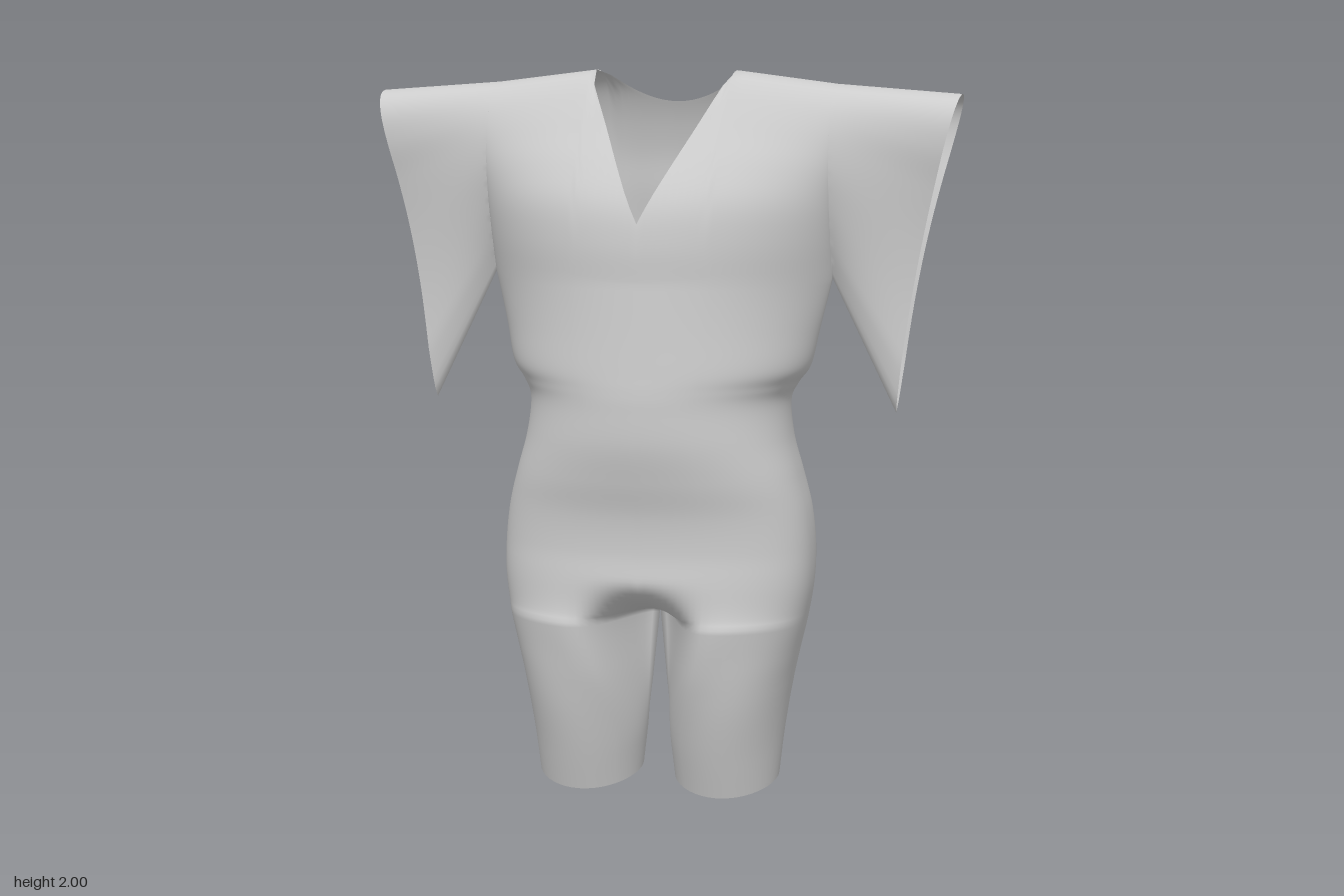
import * as THREE from 'three';

const { lerp, clamp, smoothstep } = THREE.MathUtils;
const ARMPIT = { x: 0.48, y: 1.44 };
const NECK_X = 0.2, TOP_Y = 2.0, CROTCH_Y = 0.5;

// Smooth (Catmull-Rom) lookup in an evenly spaced list, t in 0..1
function smooth(list, t) {
  const n = list.length - 1, i = Math.min(Math.floor(t * n), n - 1), f = t * n - i;
  const p1 = list[i], p2 = list[i + 1];
  const p0 = i > 0 ? list[i - 1] : 2 * p1 - p2;
  const p3 = i + 2 <= n ? list[i + 2] : 2 * p2 - p1;
  const a = (p2 - p0) / 2, b = (p3 - p1) / 2;
  return (2 * p1 - 2 * p2 + a + b) * f ** 3 + (3 * p2 - 3 * p1 - 2 * a - b) * f * f + a * f + p1;
}

// Trunk and leg levels from hem to armpit
const LEVEL_Y = [0, 0.15, 0.3, 0.4, 0.5, 0.6, 0.7, 0.8, 0.9, 1.0, 1.1, 1.15, 1.2, 1.3, 1.44];
const WIDTH = [0.345, 0.36, 0.38, 0.4, 0.422, 0.437, 0.437, 0.425, 0.4, 0.375, 0.367, 0.388, 0.422, 0.446, 0.48];
const FRONT_Z = [0.145, 0.185, 0.22, 0.238, 0.25, 0.255, 0.245, 0.25, 0.272, 0.29, 0.292, 0.29, 0.285, 0.275, 0.262];
const BACK_Z = [-0.15, -0.155, -0.16, -0.165, -0.185, -0.228, -0.276, -0.288, -0.278, -0.262, -0.257, -0.26, -0.265, -0.275, -0.28];

// Cloth depth from the middle plane, from armpit level up to the shoulder line
const CHEST = [0.292, 0.3, 0.288, 0.235, 0.175, 0.13, 0.095, 0.06, 0];
const UPPER_BACK = [0.25, 0.235, 0.215, 0.2, 0.175, 0.145, 0.112, 0.07, 0];
const SLEEVE_ROOT = [0, 0.05, 0.09, 0.115, 0.12, 0.11, 0.088, 0.055, 0];
const SLEEVE_END = [0.034, 0.036, 0.038, 0.048, 0.067, 0.089, 0.088, 0.057, 0];

const middleZ = (s) => -0.03 - 0.05 * s;
const backFold = (x, y) =>
  -0.015 * Math.exp(-(((x - 0.14) / 0.06) ** 2)) * Math.exp(-(((y - 1.5) / 0.3) ** 2));

// How quickly the cloth flattens from the centre towards the armpits
const flatten = (isBack, s) => (isBack ? 1.15 : 1.5) + 0.5 * s;

// Angles from centre front to side, with one column exactly at the neck edge
const neckAngle = Math.asin(NECK_X / ARMPIT.x);
const ANGLES = [];
for (let i = 0; i < 10; i++) ANGLES.push((neckAngle * i) / 10);
for (let i = 0; i <= 16; i++) ANGLES.push(lerp(neckAngle, Math.PI / 2, i / 16));
const AROUND = [...ANGLES, ...ANGLES.slice(0, -1).reverse().map((a) => Math.PI - a)];

// Grid of quads over point(column, row); side mirrors it in x
function grid(columns, rows, side, flip, point) {
  const pos = [], index = [];
  for (let j = 0; j <= rows; j++)
    for (let i = 0; i <= columns; i++) {
      const [x, y, z] = point(i, j);
      pos.push(side * x, y, z);
    }
  for (let j = 0; j < rows; j++)
    for (let i = 0; i < columns; i++) {
      const a = j * (columns + 1) + i, b = a + 1, d = a + columns + 1, c = d + 1;
      if ((side < 0) !== flip) index.push(a, c, b, a, d, c);
      else index.push(a, b, c, a, c, d);
    }
  const geometry = new THREE.BufferGeometry();
  geometry.setAttribute('position', new THREE.Float32BufferAttribute(pos, 3));
  geometry.setIndex(index);
  geometry.computeVertexNormals();
  return geometry;
}

// Half of the trunk, whose rings pinch at the crotch and round off into a leg
function trunkHalf(side) {
  const rows = (LEVEL_Y.length - 1) * 8;
  return grid(AROUND.length - 1, rows, side, false, (i, j) => {
    const a = AROUND[i], t = j / rows, isBack = a > Math.PI / 2;
    let y = smooth(LEVEL_Y, t);
    const w = smooth(WIDTH, t), mid = (-0.03 * y) / ARMPIT.y;
    const depth = isBack ? mid - smooth(BACK_Z, t) : smooth(FRONT_Z, t) - mid;
    const drop = clamp((0.63 - y) / (0.63 - CROTCH_Y), 0, 1);
    const pinch = drop > 0.9999 ? 1 : 1 - (1 - drop * drop) ** 0.75;
    const round = 1 - smoothstep(y, 0.1, CROTCH_Y);
    const gap = Math.max(0, 0.05 * (1 - y / CROTCH_Y));
    const centre = (w + gap) / 2, radius = (w - gap) / 2;
    const x = lerp(gap + (w - gap) * Math.sin(a), centre - radius * Math.cos(2 * a), round);
    // boxy hips, rounder waist, flatter towards the armpits
    const hips = lerp(0.75, 1, smoothstep(y, 0.85, 1.15));
    const power = lerp(hips, flatten(isBack, 0), smoothstep(y, 1.1, ARMPIT.y));
    const arc = (isBack ? -1 : 1) * Math.abs(Math.cos(a)) ** power;
    const cleft = (1 - pinch * Math.exp(-((Math.sin(a) / 0.25) ** 2))) / (1 - 0.12 * pinch);
    const d = lerp(arc * cleft, Math.sin(2 * a), round) / (1 - 0.16 * round * (1 - round));
    let z = mid + d * depth;
    if (isBack) {
      z += backFold(x, y) * -Math.cos(a);
      z += 0.018 * (1 - pinch) * Math.exp(-((x / 0.08) ** 2) - ((y - 0.68) / 0.1) ** 2);
    }
    // tilted, slightly curved leg hem
    y += Math.max(0, 1 - y / 0.3) * (0.025 - 0.17 * z + 0.012 * ((x - 0.2) / 0.15) ** 2);
    return [x, y, z];
  });
}

// Half of the chest or upper back, ending at the neckline
function yokePanel(side, isBack) {
  const rows = 32, body = isBack ? UPPER_BACK : CHEST, sign = isBack ? -1 : 1;
  return grid(ANGLES.length - 1, rows, side, isBack, (i, j) => {
    const x = ARMPIT.x * Math.sin(ANGLES[i]), c = Math.abs(Math.cos(ANGLES[i]));
    const out = Math.max(0, (x - NECK_X) / (ARMPIT.x - NECK_X));
    const height = TOP_Y - 0.035 * out - ARMPIT.y;
    const neckY = isBack ? 1.91 + 0.09 * (x / NECK_X) ** 2 : 1.6 + 2 * x;
    const cut = Math.min(1, (neckY - ARMPIT.y) / height);
    const limit = cut > 0.9999 ? 1 : (Math.asin(cut) * 2) / Math.PI;
    const v = (limit * j) / rows, s = Math.sin((v * Math.PI) / 2);
    const y = ARMPIT.y + height * s;
    const e = c ** flatten(isBack, s);
    const depth = smooth(body, v) * e + smooth(SLEEVE_ROOT, v) * (1 - e);
    const fold = isBack ? backFold(x, y) * c * (1 - s) : 0;
    return [x, y, middleZ(s) + sign * depth + fold];
  });
}

// Front or back of a wide sleeve with a long hanging point
function sleevePanel(side, isBack) {
  const columns = 18, rows = 48, sign = isBack ? -1 : 1;
  return grid(columns, rows, side, isBack, (i, j) => {
    const t = i / columns, v = j / rows, s = Math.sin((v * Math.PI) / 2);
    const x = lerp(lerp(ARMPIT.x, 0.66, t), lerp(ARMPIT.x, 0.82, t), s) - 0.02 * t * Math.sin(Math.PI * s);
    const y = lerp(lerp(ARMPIT.y, 1.075, t), lerp(1.965, 1.94, t), s);
    const tip = Math.min(1, Math.sqrt(10 * v));
    const depth = lerp(smooth(SLEEVE_ROOT, v), smooth(SLEEVE_END, v) * tip, t);
    return [x, y, middleZ(s) + sign * depth];
  });
}

// Share normals between parts where their edges meet
function blendNormals(geometries) {
  const sums = new Map(), p = new THREE.Vector3(), n = new THREE.Vector3();
  const visit = (fn) => geometries.forEach((g) => {
    const { position, normal } = g.attributes;
    for (let i = 0; i < position.count; i++) {
      p.fromBufferAttribute(position, i);
      const key = [p.x, p.y, p.z].map((c) => Math.round(c * 1e4) + 0).join();
      fn(key, normal, i);
    }
  });
  visit((key, normal, i) => {
    if (!sums.has(key)) sums.set(key, new THREE.Vector3());
    sums.get(key).add(n.fromBufferAttribute(normal, i));
  });
  visit((key, normal, i) => {
    n.copy(sums.get(key));
    if (n.lengthSq() < 1e-6) return;
    n.normalize();
    normal.setXYZ(i, n.x, n.y, n.z);
  });
}

export function createModel() {
  const group = new THREE.Group();
  group.name = 'garment';
  const cloth = new THREE.MeshStandardMaterial({ color: 0xcccccc, side: THREE.DoubleSide });
  const geometries = [];
  const add = (name, geometry) => {
    const mesh = new THREE.Mesh(geometry, cloth);
    mesh.name = name;
    geometries.push(geometry);
    group.add(mesh);
  };
  for (const [label, side] of [['left', 1], ['right', -1]]) {
    add(label + 'TrunkAndLeg', trunkHalf(side));
    add(label + 'Chest', yokePanel(side, false));
    add(label + 'UpperBack', yokePanel(side, true));
    add(label + 'SleeveFront', sleevePanel(side, false));
    add(label + 'SleeveBack', sleevePanel(side, true));
  }
  blendNormals(geometries);
  return group;
}
